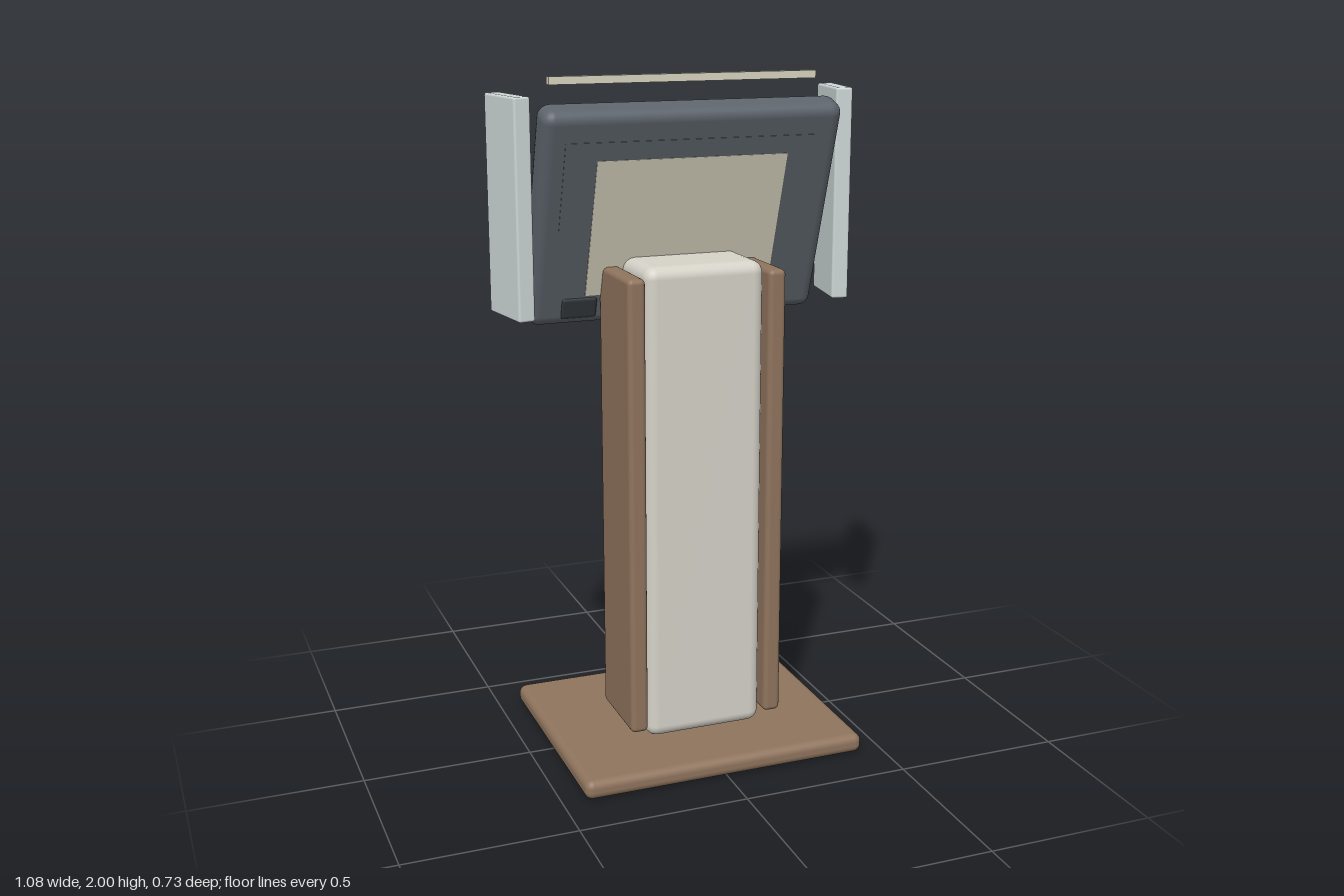
import * as THREE from 'three';
import { RoundedBoxGeometry } from 'three/addons/geometries/RoundedBoxGeometry.js';

const paint = (color) => new THREE.MeshStandardMaterial({ color });
const wood = paint(0x8f745d);
const shell = paint(0xd5d2c8);
const darkGrey = paint(0x5c636b);
const black = paint(0x34393d);
const glass = paint(0x7a9aab);
const pale = paint(0xcdd6d6);
const cream = paint(0xd8d4bf);
const brass = paint(0xa8966a);

// Box centred on (x, y, z); a radius above 0 rounds its edges
function block(parent, name, material, [w, h, d], [x, y, z], radius = 0) {
  const geometry = radius > 0
    ? new RoundedBoxGeometry(w, h, d, 3, radius)
    : new THREE.BoxGeometry(w, h, d);
  const mesh = new THREE.Mesh(geometry, material);
  mesh.name = name;
  mesh.position.set(x, y, z);
  parent.add(mesh);
  return mesh;
}

export function createModel() {
  const model = new THREE.Group();
  model.name = 'kiosk';

  // Foot: wooden slab with a dark pad underneath
  block(model, 'basePlate', wood, [0.87, 0.058, 0.725], [0, 0.031, 0], 0.024);
  block(model, 'basePad', black, [0.8, 0.01, 0.65], [0, 0.005, 0]);

  // Pedestal: rounded column between two wooden side panels
  block(model, 'column', shell, [0.36, 1.42, 0.23], [0, 1.485 - 0.71, 0.06], 0.035);
  for (const side of [1, -1]) {
    const panel = side > 0 ? 'leftSidePanel' : 'rightSidePanel';
    block(model, panel, wood, [0.053, 1.36, 0.26], [side * 0.212, 0.78, 0.06], 0.015);
  }

  // User side of the column: printer slot with paper, and a small plate
  block(model, 'printerSlot', black, [0.21, 0.025, 0.025], [0, 1.22, -0.063], 0.01);
  block(model, 'paper', pale, [0.11, 0.065, 0.004], [0, 1.213, -0.083]);
  block(model, 'servicePlate', brass, [0.15, 0.065, 0.01], [0, 0.45, -0.056]);

  // Head: leaning screen housing, its screen faces -z and upwards
  const head = new THREE.Group();
  head.name = 'screenHead';
  head.position.set(0, 1.61, -0.03);
  head.rotation.x = 0.322;
  model.add(head);
  block(head, 'housing', darkGrey, [0.89, 0.66, 0.1], [0, 0, 0], 0.035);
  block(head, 'screen', glass, [0.8, 0.61, 0.008], [0, 0, -0.05]);
  block(head, 'screenMark', darkGrey, [0.105, 0.004, 0.004], [-0.263, -0.265, -0.053]);
  block(head, 'rearVentPanel', darkGrey, [0.76, 0.27, 0.004], [0, 0.11, 0.0495]);
  block(head, 'rearCover', cream, [0.57, 0.42, 0.004], [0, -0.02, 0.0505]);

  // Card reader below one corner of the screen
  block(head, 'cardReader', black, [0.11, 0.07, 0.06], [-0.3, -0.27, 0.025], 0.012);

  // Privacy wings, opening out towards the user
  for (const side of [1, -1]) {
    const wing = block(model, side > 0 ? 'leftWing' : 'rightWing', pale,
      [0.05, 0.62, 0.2], [side * 0.4985, 1.64, -0.0625], 0.007);
    wing.rotation.y = -side * 0.16;
  }

  // Light bar above the head
  block(model, 'lightBar', cream, [0.8, 0.022, 0.025], [0, 1.989, 0]);

  return model;
}
